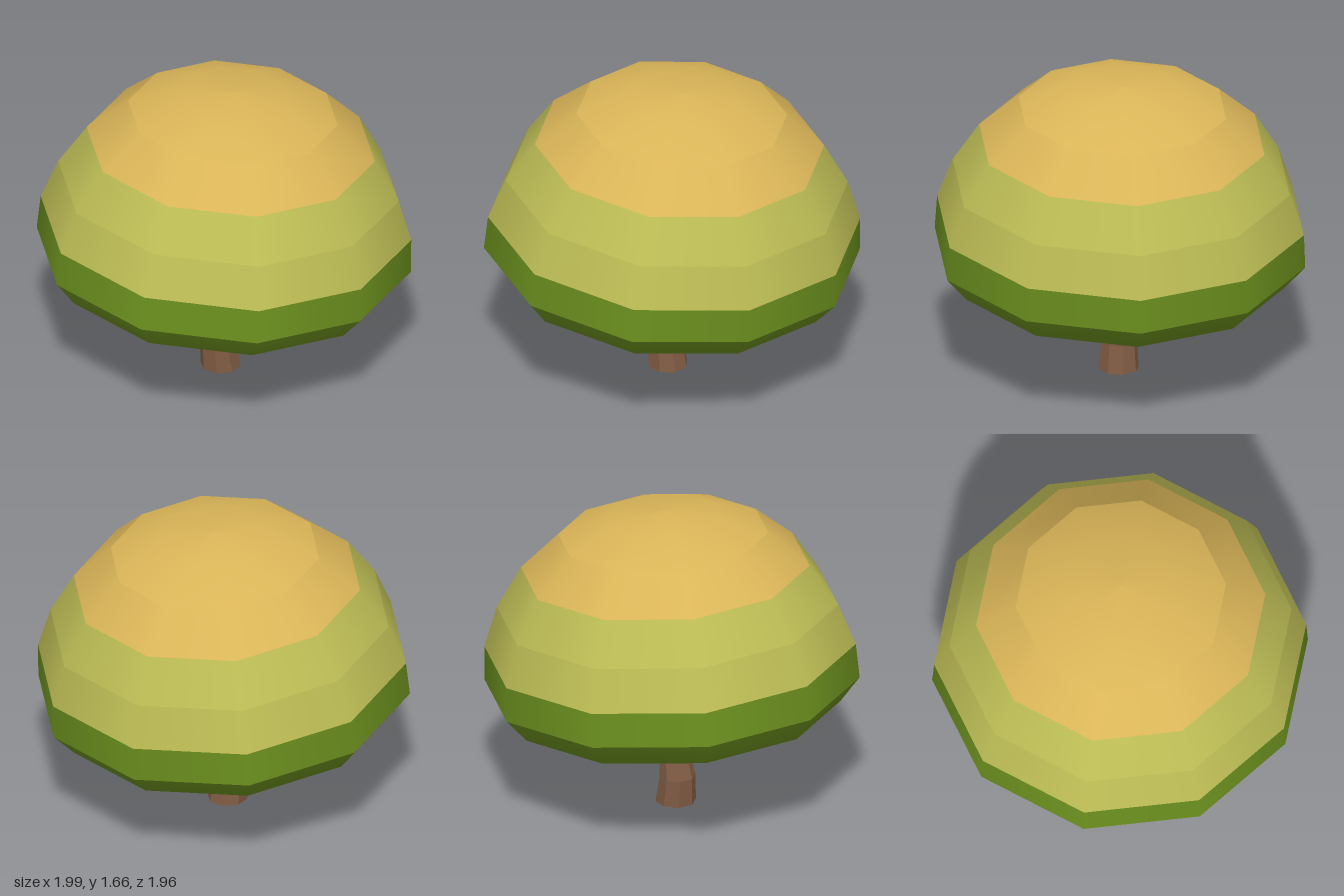
import * as THREE from 'three';

const SIDES = 10;

// Profile rings of the canopy: [radius, height above the rim]
const UNDER = [[0, -0.275], [0.36, -0.26], [0.67, -0.215], [0.89, -0.135], [1.0, 0]];
const DOME = [[1.0, 0], [0.99, 0.19], [0.91, 0.415], [0.77, 0.64], [0.56, 0.83]];
const CAP = [[0.56, 0.83], [0.3, 0.935], [0, 0.958]];

// Trunk rows from the ground up: [centre x, centre z, radius]
const TRUNK = [[-0.022, 0.002, 0.108], [-0.038, -0.003, 0.096], [-0.01, 0.005, 0.076], [-0.02, 0.005, 0.066]];
const TRUNK_HEIGHT = 0.45;

// One band of the canopy: smooth around, sharp against its neighbours
function band(name, profile, material) {
  const points = profile.map(([r, y]) => new THREE.Vector2(r, y));
  const start = THREE.MathUtils.degToRad(11.5);
  const mesh = new THREE.Mesh(new THREE.LatheGeometry(points, SIDES, start, Math.PI * 2), material);
  mesh.name = name;
  return mesh;
}

function createCanopy() {
  const green = new THREE.MeshStandardMaterial({ color: 0x6b8f1e });
  const lime = new THREE.MeshStandardMaterial({ color: 0xbcbc55 });
  const gold = new THREE.MeshStandardMaterial({ color: 0xdab558 });

  const canopy = new THREE.Group();
  canopy.name = 'canopy';
  canopy.add(band('canopyUnderside', UNDER, green));
  const dome = [['rimBand', green], ['lowerBand', lime], ['middleBand', lime], ['upperBand', gold]];
  dome.forEach(([name, material], i) => canopy.add(band(name, DOME.slice(i, i + 2), material)));
  canopy.add(band('crown', CAP, gold));

  // The whole canopy leans slightly to one side
  canopy.position.y = 0.7;
  canopy.rotation.z = -0.07;
  return canopy;
}

// Crooked tapering trunk: a cylinder whose rows are shifted and scaled
function createTrunk() {
  const rows = TRUNK.length - 1;
  const geometry = new THREE.CylinderGeometry(1, 1, TRUNK_HEIGHT, 8, rows);
  geometry.translate(0, TRUNK_HEIGHT / 2, 0);
  const p = geometry.attributes.position;
  for (let i = 0; i < p.count; i++) {
    const [cx, cz, r] = TRUNK[Math.round((p.getY(i) / TRUNK_HEIGHT) * rows)];
    p.setX(i, cx + p.getX(i) * r);
    p.setZ(i, cz + p.getZ(i) * r);
  }
  geometry.computeVertexNormals();
  const material = new THREE.MeshStandardMaterial({ color: 0x7f5b43, flatShading: true });
  const trunk = new THREE.Mesh(geometry, material);
  trunk.name = 'trunk';
  return trunk;
}

export function createModel() {
  const tree = new THREE.Group();
  tree.name = 'tree';
  tree.add(createTrunk(), createCanopy());
  return tree;
}
